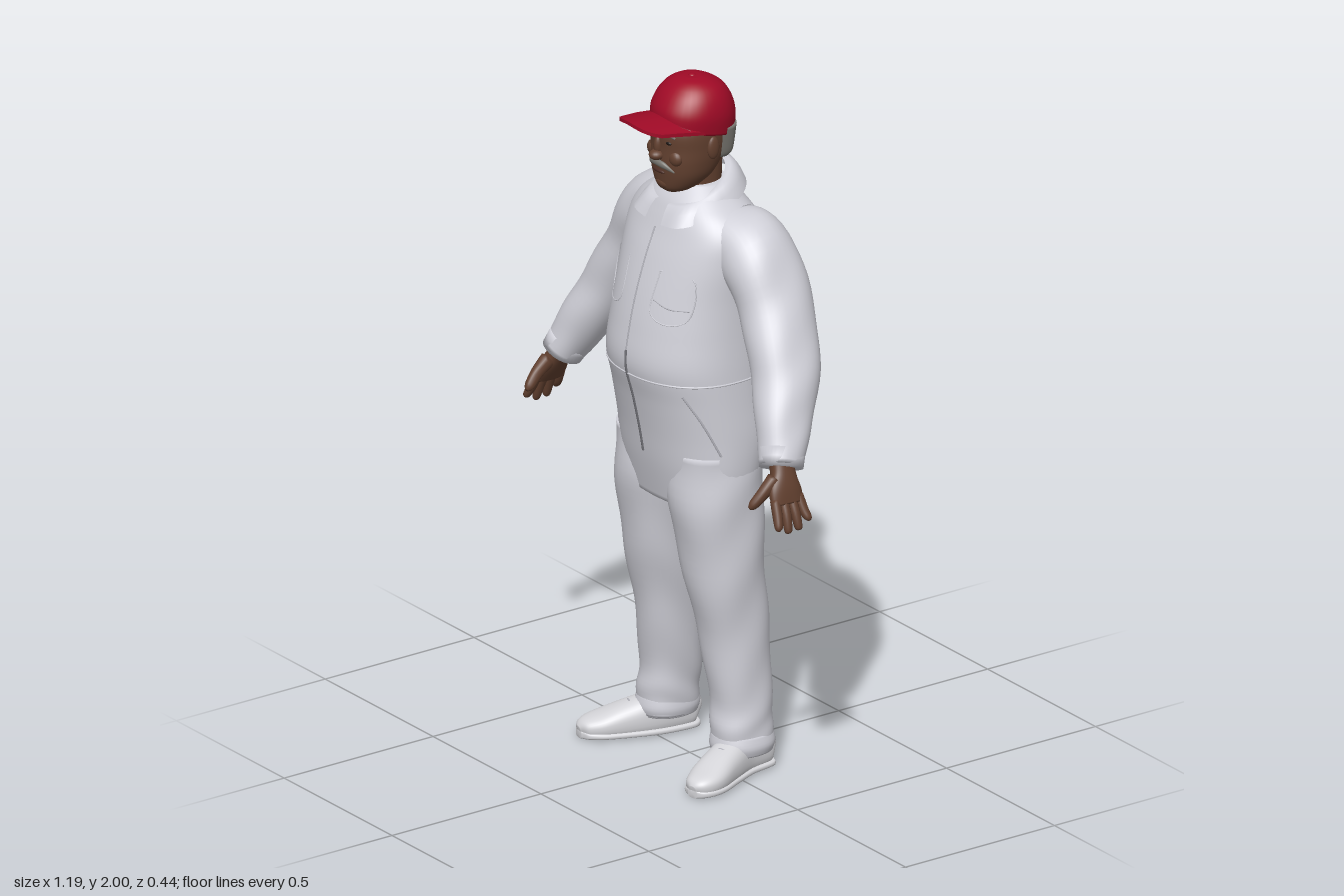
import * as THREE from 'three';

const mat = (name, color) => Object.assign(new THREE.MeshStandardMaterial({ color }), { name });
const cloth = mat('white cloth', 0xd0d0d8);
const seam = mat('seam grey', 0xb4b4bc);
const zipGrey = mat('zip grey', 0x74747a);
const shoeMat = mat('shoe white', 0xd4d4d8);
const red = mat('cap red', 0xa00a26);
const skin = mat('skin brown', 0x62402f);
const lip = mat('lip brown', 0x4a2c24);
const grey = mat('hair grey', 0x77756f);
const dark = mat('eye dark', 0x1e1714);
const capRed = mat('cap dark red', 0x86081e);

const V = (x, y, z) => new THREE.Vector3(x, y, z);
const spow = (v, e) => Math.sign(v) * Math.abs(v) ** e;

// Catmull-Rom smoothing of rows of numbers, k steps per span
function smooth(rows, k) {
  const out = [], at = i => rows[Math.min(rows.length - 1, Math.max(0, i))];
  for (let i = 0; i < rows.length - 1; i++)
    for (let s = 0; s < k; s++) {
      const t = s / k, [p, q, r, w] = [at(i - 1), at(i), at(i + 1), at(i + 2)];
      out.push(q.map((b, c) => 0.5 * (2 * b + (r[c] - p[c]) * t + (2 * p[c] - 5 * b + 4 * r[c] - w[c]) * t * t
        + (3 * b - p[c] - 3 * r[c] + w[c]) * t * t * t)));
    }
  return [...out, at(rows.length - 1)];
}

// Closed loft through rows [x, y, z, a, b]: superellipse rings, flat or square to the path
function loft(rows, { n = 2.2, k = 6, seg = 36, flat = false, ref = V(0, 0, 1), fold = 0, rule } = {}) {
  const d = smooth(rows, k), pos = [], idx = [], c = d.map(r => V(r[0], r[1], r[2]));
  d.forEach((r, i) => {
    const T = flat ? V(0, 1, 0) : c[Math.min(i + 1, d.length - 1)].clone().sub(c[Math.max(i - 1, 0)]).normalize();
    const U = T.clone().cross(ref).normalize(), W = U.clone().cross(T);
    for (let j = 0; j < seg; j++) {
      const t = j / seg * Math.PI * 2;
      const f = 1 + fold * Math.sin(i / k * 5 + 1.6 * Math.sin(2 * t) + t);
      const p = c[i].clone().addScaledVector(U, f * r[3] * spow(Math.cos(t), 2 / n))
        .addScaledVector(W, f * r[4] * spow(Math.sin(t), 2 / n));
      if (rule) rule(p);
      pos.push(p.x, p.y, p.z);
      const a = i * seg + j, b = i * seg + (j + 1) % seg;
      if (i < d.length - 1) idx.push(a, a + seg, b, b, a + seg, b + seg);
    }
  });
  const m = d.length * seg;
  for (const p of [c[0].clone(), c[d.length - 1].clone()]) { if (rule) rule(p); pos.push(p.x, p.y, p.z); }
  for (let j = 0; j < seg; j++) {
    const q = (j + 1) % seg;
    idx.push(m, j, q, m + 1, m - seg + q, m - seg + j);
  }
  const g = new THREE.BufferGeometry();
  g.setAttribute('position', new THREE.Float32BufferAttribute(pos, 3));
  g.setIndex(idx);
  g.computeVertexNormals();
  return g;
}

// Rows [y, half width, front z, back z] as loft rows
const upright = rows => rows.map(([y, w, f, b]) => [0, y, (f + b) / 2, w, (f - b) / 2]);
const tube = (pts, r, closed = false) =>
  new THREE.TubeGeometry(new THREE.CatmullRomCurve3(pts, closed), closed ? 80 : 28, r, 6, closed);
const blob = (x, y, z, a, b, c) => new THREE.SphereGeometry(1, 20, 14).scale(a, b, c).translate(x, y, z);

function add(parent, name, geo, material) {
  const m = new THREE.Mesh(geo, material);
  m.name = name;
  parent.add(m);
  return m;
}
function group(parent, name) {
  const g = new THREE.Group();
  g.name = name;
  parent.add(g);
  return g;
}
// Mirrored copy of a group across x = 0
function mirror(parent, src, name) {
  const g = group(parent, name);
  for (const m of src.children) {
    const geo = m.geometry.clone().scale(-1, 1, 1), ix = geo.index.array;
    for (let i = 0; i < ix.length; i += 3) [ix[i], ix[i + 1]] = [ix[i + 1], ix[i]];
    add(g, m.name, geo, m.material);
  }
}

const torsoRows = upright([
  [0.79, 0.225, 0.125, -0.12], [0.9, 0.238, 0.15, -0.165], [1.0, 0.24, 0.168, -0.197], [1.1, 0.235, 0.19, -0.193],
  [1.2, 0.23, 0.215, -0.2], [1.3, 0.225, 0.203, -0.211], [1.4, 0.225, 0.18, -0.217], [1.5, 0.232, 0.148, -0.203],
  [1.57, 0.228, 0.12, -0.178], [1.62, 0.195, 0.1, -0.152], [1.66, 0.14, 0.08, -0.125], [1.7, 0.085, 0.045, -0.095]]);
const torsoDense = smooth(torsoRows, 6);
// Point on the torso surface, front (s = 1) or back (s = -1)
function onTorso(x, y, s = 1) {
  const i = Math.max(1, torsoDense.findIndex(r => r[1] >= y)), p = torsoDense[i - 1], q = torsoDense[i];
  const [, , c, a, b] = p.map((v, j) => v + (q[j] - v) * (y - p[1]) / (q[1] - p[1]));
  return V(x, y, c + s * b * Math.max(0, 1 - (Math.abs(x) / a) ** 2.2) ** (1 / 2.2));
}

function buildTorso(root) {
  const g = group(root, 'coverallBody');
  add(g, 'torso', loft(torsoRows, { flat: true, seg: 56 }), cloth);
  const line = (name, pts, r, m) => add(g, name, tube(pts.map(p => onTorso(...p)), r), m);
  const column = (y0, y1) => Array.from({ length: 12 }, (_, i) => [0, y0 + (y1 - y0) * i / 11]);
  line('lowerZip', column(0.93, 1.24), 0.004, zipGrey);
  line('upperZip', column(1.24, 1.58), 0.0025, seam);
  // Waist seam all round
  const ring = [];
  for (let i = 0; i < 40; i++) {
    const t = i / 40 * Math.PI * 2;
    ring.push(onTorso(0.2315 * Math.cos(t), 1.17, Math.sin(t) >= 0 ? 1 : -1));
  }
  add(g, 'waistSeam', tube(ring, 0.003, true), cloth);
  for (const s of [-1, 1]) {
    line('chestPocket', [[0.07, 1.48], [0.07, 1.36], [0.12, 1.34], [0.17, 1.36], [0.17, 1.47], [0.07, 1.48]]
      .map(([x, y]) => [s * x, y]), 0.002, cloth);
    line('hipPocket', [[s * 0.17, 1.14], [s * 0.2, 1.06], [s * 0.225, 0.96]], 0.003, seam);
  }
  line('pocketOpening', [[0.07, 1.4], [0.12, 1.385], [0.17, 1.385]], 0.002, seam);

  // Folded collar, open at the front
  const c = new THREE.PlaneGeometry(1, 1, 48, 4), p = c.attributes.position;
  for (let i = 0; i < p.count; i++) {
    const phi = (p.getX(i) + 0.5) * (2 * Math.PI - 0.5) + 0.25, v = 0.5 - p.getY(i);
    const f = Math.cos(phi), r = 0.084 + 0.058 * v;
    const tip = v * 0.022 * Math.exp(-(((Math.abs(Math.sin(phi)) - 0.65) / 0.25) ** 2)) * (f > 0 ? 1 : 0);
    p.setXYZ(i, (r + tip) * Math.sin(phi), 1.69 - 0.045 * f - 0.05 * v + 0.025 * Math.sin(v * Math.PI),
      -0.015 + (r + tip) * f);
  }
  c.computeVertexNormals();
  const collarCloth = cloth.clone();
  collarCloth.side = THREE.DoubleSide;
  add(g, 'collar', c, collarCloth);
}

function buildArm(root) {
  const g = group(root, 'leftArm');
  add(g, 'sleeve', loft([[0.13, 1.565, -0.05, 0.085, 0.1], [0.22, 1.53, -0.062, 0.095, 0.11],
    [0.31, 1.4, -0.065, 0.082, 0.108], [0.393, 1.25, -0.035, 0.08, 0.098], [0.46, 1.125, 0.02, 0.066, 0.078],
    [0.507, 1.03, 0.06, 0.053, 0.06]], { fold: 0.022 }), cloth);
  add(g, 'cuff', loft([[0.488, 1.07, 0.044, 0.057, 0.066], [0.508, 1.026, 0.061, 0.054, 0.061]], { k: 2 }), cloth);
  // Palm, fingers and thumb
  add(g, 'palm', loft([[0.495, 1.06, 0.058, 0.03, 0.034], [0.52, 1.015, 0.064, 0.026, 0.036],
    [0.54, 0.975, 0.072, 0.022, 0.05], [0.556, 0.938, 0.074, 0.015, 0.05]], { n: 2.4 }), skin);
  [[0.112, 0.124, 0.88], [0.086, 0.092, 0.866], [0.06, 0.058, 0.868], [0.035, 0.026, 0.888]].forEach(([z0, z1, y]) =>
    add(g, 'finger', loft([[0.55, 0.955, z0, 0.013, 0.014], [0.57, 0.915, (z0 + z1) / 2, 0.013, 0.0135],
      [0.584, y + 0.008, z1, 0.01, 0.011], [0.587, y, z1, 0.004, 0.004]], { seg: 12, k: 4 }), skin));
  add(g, 'thumb', loft([[0.525, 1.005, 0.095, 0.02, 0.024], [0.525, 0.975, 0.132, 0.016, 0.018],
    [0.519, 0.945, 0.162, 0.013, 0.014], [0.516, 0.935, 0.174, 0.005, 0.005]], { seg: 14, k: 4 }), skin);
  mirror(root, g, 'rightArm');
}

function buildLeg(root) {
  const g = group(root, 'leftLeg');
  add(g, 'trouserLeg', loft([[0.172, 0.065, -0.05, 0.074, 0.086], [0.17, 0.13, -0.05, 0.076, 0.088],
    [0.162, 0.22, -0.053, 0.077, 0.087], [0.148, 0.4, -0.04, 0.086, 0.1], [0.137, 0.6, -0.012, 0.104, 0.114],
    [0.122, 0.8, 0.002, 0.119, 0.132], [0.122, 0.95, 0, 0.11, 0.13]], { flat: true, fold: 0.022 }), cloth);
  add(g, 'ankleFold', loft([[0.174, 0.06, -0.05, 0.074, 0.085], [0.174, 0.085, -0.05, 0.08, 0.092],
    [0.172, 0.115, -0.05, 0.074, 0.086]], { flat: true, k: 4 }), cloth);
  // Shoe turned slightly outward
  const foot = [[0.17, 0.045, -0.135, 0.03, 0.03], [0.172, 0.05, -0.115, 0.048, 0.055],
    [0.185, 0.052, -0.03, 0.052, 0.062], [0.215, 0.042, 0.05, 0.055, 0.052], [0.246, 0.032, 0.12, 0.055, 0.036],
    [0.26, 0.026, 0.165, 0.038, 0.026], [0.264, 0.022, 0.183, 0.012, 0.012]];
  const ref = V(0, 1, 0), rule = p => { p.y = Math.max(p.y, 0.002); };
  add(g, 'shoe', loft(foot, { ref, rule, n: 2.4 }), shoeMat);
  add(g, 'sole', loft(foot.map(([x, , z, a]) => [x, 0.012, z, a + 0.004, 0.012]), { ref, n: 3 }), shoeMat);
  for (let i = 0; i < 3; i++) {
    const x = 0.214 + i * 0.009, z = 0.05 + i * 0.023, y = 0.094 - i * 0.0095;
    add(g, 'lace', tube([V(x - 0.026, y - 0.007, z + 0.008), V(x, y, z), V(x + 0.026, y - 0.007, z - 0.008)], 0.003), seam);
  }
  mirror(root, g, 'rightLeg');
}

function buildHead(root) {
  const g = group(root, 'head');
  add(g, 'neck', loft(upright([[1.58, 0.075, 0.05, -0.085], [1.66, 0.074, 0.055, -0.085], [1.78, 0.075, 0.06, -0.09]]),
    { flat: true }), skin);
  add(g, 'undershirt', loft(upright([[1.57, 0.07, 0.085, -0.05], [1.605, 0.06, 0.084, -0.05], [1.625, 0.05, 0.07, -0.05]]),
    { flat: true }), cloth);
  add(g, 'skull', loft(upright([[1.676, 0.03, 0.08, 0], [1.692, 0.058, 0.097, -0.03], [1.73, 0.084, 0.104, -0.06],
    [1.77, 0.095, 0.108, -0.085], [1.81, 0.099, 0.107, -0.103], [1.86, 0.1, 0.106, -0.112], [1.92, 0.085, 0.08, -0.1]]),
    { flat: true }), skin);
  add(g, 'backHair', loft(upright([[1.77, 0.082, -0.02, -0.092], [1.79, 0.092, -0.012, -0.106], [1.86, 0.099, 0.01, -0.119]]),
    { flat: true, n: 2.5 }), grey);
  add(g, 'nose', blob(0, 1.79, 0.11, 0.021, 0.015, 0.024), skin);
  add(g, 'noseBridge', blob(0, 1.815, 0.105, 0.012, 0.03, 0.014), skin);
  add(g, 'chin', blob(0, 1.705, 0.083, 0.034, 0.02, 0.02), skin);
  add(g, 'lowerLip', blob(0, 1.742, 0.104, 0.026, 0.006, 0.007), lip);
  add(g, 'moustache', loft([[-0.054, 1.748, 0.09, 0.003, 0.003], [-0.028, 1.764, 0.106, 0.009, 0.007],
    [0, 1.768, 0.111, 0.009, 0.007], [0.028, 1.764, 0.106, 0.009, 0.007], [0.054, 1.748, 0.09, 0.003, 0.003]],
    { seg: 12 }), grey);
  const side = group(g, 'leftFace');
  add(side, 'ear', blob(0.102, 1.815, -0.005, 0.01, 0.033, 0.019).rotateZ(0), skin);
  add(side, 'eye', blob(0.036, 1.832, 0.098, 0.013, 0.006, 0.006), dark);
  add(side, 'eyebrow', tube([V(0.018, 1.851, 0.106), V(0.038, 1.856, 0.101), V(0.058, 1.849, 0.09)], 0.004), grey);
  add(side, 'cheek', blob(0.048, 1.788, 0.083, 0.026, 0.024, 0.018), skin);
  mirror(g, side, 'rightFace');
}

function buildCap(root) {
  const g = group(root, 'cap');
  const tilt = p => { p.y += 0.22 * p.z * Math.max(0, (1.97 - p.y) / 0.12); };
  add(g, 'crown', loft(upright([[1.852, 0.104, 0.108, -0.122], [1.9, 0.108, 0.104, -0.126], [1.94, 0.099, 0.088, -0.114],
    [1.97, 0.08, 0.066, -0.09], [1.988, 0.054, 0.04, -0.058], [1.996, 0.025, 0.013, -0.03]]),
    { flat: true, rule: tilt }), red);
  add(g, 'topButton', blob(0, 1.995, -0.008, 0.01, 0.005, 0.01), red);
  // Curved bill, drooping at the sides
  const b = new THREE.BoxGeometry(2, 0.01, 1, 24, 1, 10), p = b.attributes.position;
  for (let i = 0; i < p.count; i++) {
    const u = p.getX(i), v = p.getZ(i) + 0.5;
    p.setXYZ(i, u * (0.102 - 0.008 * v), 1.893 + 0.014 * v - 0.03 * u * u + p.getY(i),
      0.02 + v * (0.09 + 0.1 * Math.sqrt(1 - Math.abs(u) ** 2.6)));
  }
  b.computeVertexNormals();
  add(g, 'bill', b, red);
  add(g, 'billSeam', tube([-0.09, -0.06, 0, 0.06, 0.09].map(x =>
    V(x, 1.9 - 3 * x * x, 0.112 * Math.sqrt(1 - (x / 0.108) ** 2))), 0.003), capRed);
}

export function createModel() {
  const root = new THREE.Group();
  root.name = 'manInCoveralls';
  [buildTorso, buildArm, buildLeg, buildHead, buildCap].forEach(build => build(root));
  return root;
}
